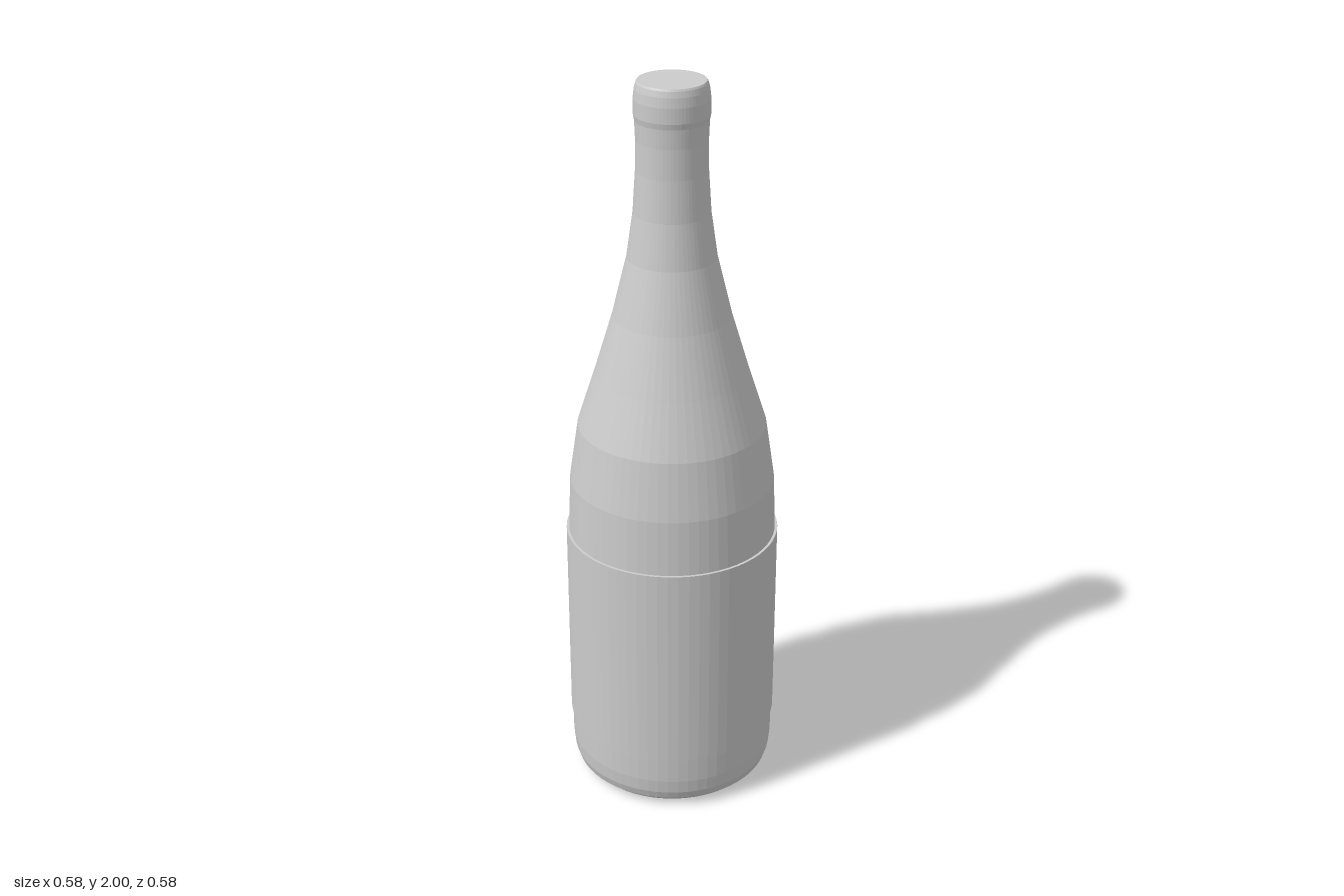
import * as THREE from 'three';

const SEGMENTS = 64;

// Revolve a list of [radius, height] pairs around the y axis
function turned(name, profile) {
  const points = profile.map(([r, y]) => new THREE.Vector2(r, y));
  const material = new THREE.MeshStandardMaterial({
    color: 0xcccccc, flatShading: true, side: THREE.DoubleSide,
  });
  const mesh = new THREE.Mesh(new THREE.LatheGeometry(points, SEGMENTS), material);
  mesh.name = name;
  return mesh;
}

export function createModel() {
  const bottle = new THREE.Group();
  bottle.name = 'bottle';

  // Hollow base, heel, straight wall, sloping shoulder and neck
  bottle.add(turned('body', [
    [0, 0.22], [0.05, 0.205], [0.1, 0.15], [0.15, 0.07], [0.185, 0.01], [0.2, 0],
    [0.24, 0], [0.255, 0.01], [0.272, 0.026], [0.28, 0.05], [0.284, 0.09],
    [0.285, 0.16], [0.285, 0.6], [0.282, 0.75], [0.276, 0.91], [0.252, 1.07],
    [0.204, 1.22], [0.156, 1.38], [0.117, 1.54], [0.1, 1.66], [0.093, 1.77],
    [0.092, 1.85], [0.094, 1.9],
  ]));

  // Rounded lip with a flat closed mouth
  bottle.add(turned('lip', [
    [0.094, 1.9], [0.097, 1.915], [0.097, 1.955], [0.094, 1.98], [0.09, 1.995],
    [0.087, 2], [0, 2],
  ]));

  // Wrapped sleeve standing just proud of the glass
  bottle.add(turned('label', [
    [0.284, 0.175], [0.289, 0.175], [0.289, 0.755], [0.281, 0.755],
  ]));

  return bottle;
}
